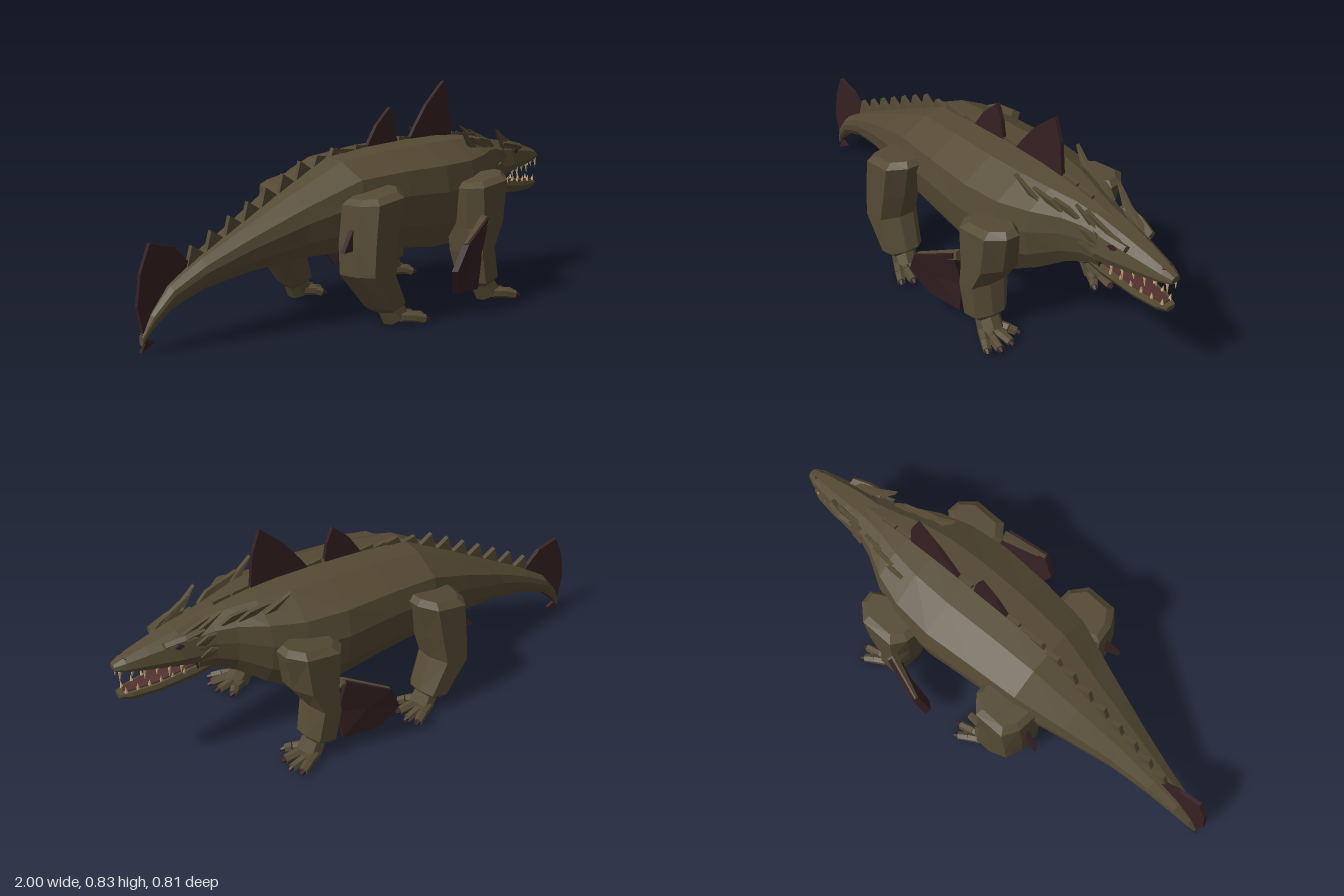
import * as THREE from 'three';

const V = (x, y, z) => new THREE.Vector3(x, y, z);
const paint = (name, color) => {
  const m = new THREE.MeshStandardMaterial({ color, flatShading: true });
  m.name = name;
  return m;
};

export function createModel() {
  const root = new THREE.Group();
  root.name = 'spinedReptile';
  const hide = paint('olive hide', 0x554a34);
  const fin = paint('maroon fin', 0x352022);
  const mouth = paint('mouth flesh', 0x51302e);
  const ivory = paint('ivory teeth', 0xc4aa74);

  function add(name, geo, mat) {
    const mesh = new THREE.Mesh(geo, mat);
    mesh.name = name;
    root.add(mesh);
    return mesh;
  }

  // Skin a list of closed rings, cap both ends and face the result outwards
  function loft(name, rings, mat) {
    const n = rings[0].length, tris = [];
    for (let i = 0; i < rings.length - 1; i++) {
      for (let j = 0; j < n; j++) {
        const k = (j + 1) % n, a = rings[i], b = rings[i + 1];
        tris.push([a[j], a[k], b[k]], [a[j], b[k], b[j]]);
      }
    }
    const cap = (ring, flip) => {
      const c = ring.reduce((s, p) => s.add(p), V(0, 0, 0)).divideScalar(n);
      ring.forEach((p, j) => {
        const q = ring[(j + 1) % n];
        tris.push(flip ? [c, q, p] : [c, p, q]);
      });
    };
    cap(rings[0], true);
    cap(rings[rings.length - 1], false);
    let volume = 0;
    tris.forEach(([a, b, c]) => { volume += a.dot(b.clone().cross(c)); });
    if (volume < 0) tris.forEach(t => t.reverse());
    const geo = new THREE.BufferGeometry().setFromPoints(tris.flat());
    geo.computeVertexNormals();
    return add(name, geo, mat);
  }

  // Thin plate: an outline given thickness along one direction
  function plate(name, pts, thick, mat) {
    const d = thick.clone().multiplyScalar(0.5);
    return loft(name, [pts.map(p => p.clone().sub(d)), pts.map(p => p.clone().add(d))], mat);
  }
  const finPlate = (name, pts, z, t, mat) =>
    plate(name, pts.map(([x, y]) => V(x, y, z)), V(0, 0, t), mat);

  // Tapered rod from a to b
  function rod(name, a, b, ra, rb, sides, mat) {
    const dir = b.clone().sub(a);
    const mesh = add(name, new THREE.CylinderGeometry(rb, ra, dir.length(), sides), mat);
    mesh.position.copy(a).add(b).multiplyScalar(0.5);
    mesh.quaternion.setFromUnitVectors(V(0, 1, 0), dir.normalize());
  }

  // Body and tail: x, top, bottom, half width, centre z
  const half = [[0, 1], [0.42, 0.95], [0.92, 0.62], [1, 0.15], [0.92, -0.45], [0.66, -0.92], [0, -1]];
  const outline = [...half, ...half.slice(1, -1).reverse().map(([a, b]) => [-a, b])];
  const stations = [
    [-0.985, 0.07, 0.035, 0.012, -0.037], [-0.95, 0.14, 0.085, 0.028, -0.037],
    [-0.88, 0.225, 0.145, 0.046, -0.036], [-0.76, 0.3, 0.195, 0.065, -0.032],
    [-0.6, 0.385, 0.228, 0.098, -0.022], [-0.4, 0.49, 0.25, 0.153, -0.015],
    [-0.2, 0.59, 0.25, 0.212, -0.005], [0, 0.61, 0.232, 0.232, 0],
    [0.2, 0.62, 0.205, 0.245, 0], [0.36, 0.622, 0.205, 0.228, 0],
    [0.48, 0.615, 0.275, 0.185, 0], [0.58, 0.602, 0.345, 0.125, 0],
    [0.65, 0.588, 0.378, 0.096, 0], [0.71, 0.575, 0.385, 0.082, 0]];
  loft('body', stations.map(([x, t, b, w, z]) =>
    outline.map(([a, h]) => V(x, (t + b) / 2 + h * (t - b) / 2, z + a * w))), hide);

  // Upper jaw and snout, then lower jaw: x, top, bottom, half width
  const jawRing = ([x, t, b, w], lower) => {
    const s = lower ? [[0.9, 1], [1, 0.6], [0.65, 0], [-0.65, 0], [-1, 0.6], [-0.9, 1]]
      : [[0.4, 1], [0.85, 0.72], [1, 0.25], [0.85, 0], [-0.85, 0], [-1, 0.25], [-0.85, 0.72], [-0.4, 1]];
    return s.map(([a, h]) => V(x, b + (t - b) * h, a * w));
  };
  loft('upperJaw', [[0.66, 0.583, 0.425, 0.09], [0.77, 0.565, 0.44, 0.08], [0.88, 0.538, 0.456, 0.056],
    [0.96, 0.515, 0.468, 0.038], [0.997, 0.498, 0.475, 0.02]].map(r => jawRing(r, false)), hide);
  loft('lowerJaw', [[0.64, 0.43, 0.372, 0.068], [0.72, 0.408, 0.353, 0.062], [0.86, 0.385, 0.343, 0.05],
    [0.95, 0.378, 0.345, 0.036], [0.99, 0.374, 0.356, 0.02]].map(r => jawRing(r, true)), hide);

  // Lining of the mouth
  const lining = (name, pts, mat) => plate(name,
    [...pts, ...pts.slice().reverse().map(([x, y, z]) => [x, y, -z])].map(p => V(...p)), V(0, 0.006, 0), mat);
  lining('palate', [[0.71, 0.431, 0.055], [0.88, 0.455, 0.038], [0.98, 0.471, 0.013]], fin);
  lining('tongue', [[0.71, 0.411, 0.046], [0.86, 0.387, 0.036], [0.97, 0.378, 0.016]], mouth);
  plate('throat', [V(0.713, 0.4, 0.06), V(0.713, 0.445, 0.06), V(0.713, 0.445, -0.06), V(0.713, 0.4, -0.06)],
    V(0.006, 0, 0), fin);

  for (const s of [1, -1]) {
    // Teeth along both jaws
    for (let i = 0; i < 6; i++) {
      const x = 0.775 + i * 0.041, u = i / 5;
      const zu = s * (0.066 - 0.046 * u), zl = s * (0.05 - 0.032 * u);
      const long = i % 2 ? 0.04 : 0.026;
      rod('upperTooth', V(x, 0.445 + 0.028 * u, zu), V(x + 0.004, 0.445 + 0.028 * u - long, zu), 0.007, 0.001, 5, ivory);
      rod('lowerTooth', V(x - 0.014, 0.396 - 0.02 * u, zl), V(x - 0.012, 0.42 - 0.02 * u, zl * 1.15), 0.007, 0.001, 5, ivory);
    }

    // Eye and nostril
    plate('eye', [V(0.765, 0.528, 0.081 * s), V(0.782, 0.538, 0.077 * s), V(0.798, 0.525, 0.074 * s),
      V(0.782, 0.518, 0.078 * s)], V(0, 0, 0.009), fin);
    plate('nostril', [V(0.95, 0.517, 0.015 * s), V(0.965, 0.512, 0.013 * s), V(0.955, 0.512, 0.022 * s)], V(0, 0.006, 0), fin);

    // Swept-back brow, cheek and neck spikes: base point then tip
    const spikes = [
      [0.79, 0.55, 0.055, 0.66, 0.615, 0.08], [0.74, 0.56, 0.07, 0.63, 0.63, 0.1],
      [0.83, 0.535, 0.05, 0.73, 0.575, 0.072], [0.72, 0.52, 0.078, 0.65, 0.545, 0.096],
      [0.71, 0.47, 0.082, 0.65, 0.485, 0.096], [0.63, 0.57, 0.082, 0.53, 0.605, 0.105],
      [0.57, 0.575, 0.1, 0.45, 0.615, 0.125], [0.49, 0.575, 0.12, 0.38, 0.643, 0.146]];
    for (const [x, y, z, tx, ty, tz] of spikes) {
      plate('headSpike', [V(x, y - 0.008, z * s), V(x - 0.035, y - 0.02, z * s), V(tx, ty, tz * s),
        V(x - 0.04, y + 0.022, (z + tz) / 2 * s)], V(0, 0, 0.016), hide);
    }
    // Ridge of the brow
    loft('brow', [[0.69, 0.57, 0.082], [0.76, 0.556, 0.08], [0.83, 0.54, 0.062]].map(([x, y, z]) =>
      [[0, 0.012], [0.014, 0], [0, -0.014], [-0.02, 0]].map(([a, b]) => V(x, y + b, (z + a) * s))), hide);

    // Legs: x back, x front, y, z inner, z outer
    const legs = {
      frontLeg: [[0.28, 0.47, 0.485, 0.2, 0.3], [0.25, 0.49, 0.465, 0.185, 0.327], [0.265, 0.46, 0.31, 0.155, 0.327],
        [0.272, 0.395, 0.215, 0.162, 0.327], [0.295, 0.42, 0.095, 0.187, 0.325], [0.325, 0.41, 0.078, 0.21, 0.308]],
      rearLeg: [[-0.265, -0.09, 0.485, 0.18, 0.3], [-0.29, -0.07, 0.465, 0.165, 0.327], [-0.3, -0.105, 0.32, 0.155, 0.327],
        [-0.3, -0.135, 0.215, 0.162, 0.327], [-0.2, -0.085, 0.085, 0.187, 0.325], [-0.18, -0.095, 0.068, 0.21, 0.308]],
    };
    // Leg section, narrower on the outer side and open towards the body
    const section = [[0, 0.12], [0.04, 0.62], [0.2, 1], [0.75, 1], [0.98, 0.62], [1, 0.25], [0.78, 0], [0.25, 0]];
    for (const [name, path] of Object.entries(legs)) {
      loft(name, path.map(([x0, x1, y, z0, z1]) => section.map(([u, w]) =>
        V(x0 + (x1 - x0) * u, y + 0.015 - 0.03 * (1 - u), (z0 + (z1 - z0) * w) * s))), hide);

      // Foot with four splayed toes and dark claws
      const ax = (path[5][0] + path[5][1]) / 2;
      rod('ankle', V(ax - 0.005, 0.09, 0.258 * s), V(ax + 0.03, 0.03, 0.265 * s), 0.045, 0.05, 8, hide);
      [[0.09, 0.197], [0.122, 0.25], [0.126, 0.304], [0.104, 0.344]].forEach(([dx, z]) => {
        const a = V(ax + 0.025, 0.034, (0.265 + (z - 0.265) * 0.45) * s);
        const k = V(ax + 0.07, 0.03, (0.265 + (z - 0.265) * 0.75) * s), b = V(ax + dx, 0.021, z * s);
        rod('toe', a, k, 0.019, 0.019, 6, hide);
        rod('toe', k, b, 0.019, 0.017, 6, hide);
        rod('claw', b, b.clone().add(V(0.016, -0.004, 0.1 * (z - 0.265) * s)), 0.012, 0.007, 6, fin);
      });
    }

    // Large fin behind each front leg, small one behind each rear leg
    plate('elbowFin', [[0.29, 0.35, 0.345], [0.13, 0.275, 0.39], [0.085, 0.18, 0.378], [0.14, 0.08, 0.335],
      [0.28, 0.07, 0.305], [0.3, 0.2, 0.305]].map(([x, y, z]) => V(x, y, z * s)), V(0.006, 0.004, 0.026 * s), fin);
    rod('elbowFinSpine', V(0.3, 0.337, 0.33 * s), V(0.135, 0.272, 0.385 * s), 0.022, 0.01, 5, hide);
    plate('kneeFin', [[-0.35, 0.295, 0.25], [-0.27, 0.39, 0.225], [-0.25, 0.29, 0.22]]
      .map(([x, y, z]) => V(x, y, z * s)), V(0, 0, 0.02), fin);
  }

  // Fins on the back and tail
  finPlate('smallBackFin', [[-0.01, 0.595], [0.05, 0.685], [0.12, 0.748], [0.145, 0.69], [0.16, 0.6]], 0, 0.016, fin);
  finPlate('largeBackFin', [[0.215, 0.6], [0.255, 0.66], [0.32, 0.745], [0.417, 0.832], [0.45, 0.74], [0.465, 0.6]], 0, 0.016, fin);
  finPlate('tailFin', [[-0.98, 0.07], [-1, 0.17], [-0.985, 0.28], [-0.945, 0.375], [-0.855, 0.35],
    [-0.785, 0.282], [-0.87, 0.21]], -0.037, 0.016, fin);
  finPlate('tailHook', [[-0.985, 0.075], [-0.965, 0.055], [-0.935, 0.04], [-0.99, 0.012], [-0.975, 0.04]], -0.037, 0.014, fin);
  finPlate('tailKeel', [[-0.98, 0.04], [-0.945, 0.08], [-0.88, 0.138], [-0.89, 0.16], [-0.96, 0.1]], -0.037, 0.014, fin);

  // Spines along the tail and low scutes along the back
  const topAt = x => {
    const i = stations.findIndex(p => p[0] > x), a = stations[i - 1], b = stations[i], u = (x - a[0]) / (b[0] - a[0]);
    return [a[1] + (b[1] - a[1]) * u, a[4] + (b[4] - a[4]) * u];
  };
  for (let i = 0; i < 9; i++) {
    const x = -0.77 + i * 0.077, [y, z] = topAt(x), h = i < 7 ? 0.05 : 0.025;
    finPlate('tailSpine', [[x - 0.035, y - 0.03], [x - 0.012, y + h], [x + 0.045, y + 0.015], [x + 0.03, y - 0.01]], z, 0.018, hide);
  }
  for (let i = 0; i < 10; i++) {
    const x = -0.1 + i * 0.075, [y] = topAt(x);
    finPlate('backScute', [[x - 0.035, y - 0.015], [x - 0.03, y + 0.014], [x + 0.035, y + 0.006], [x + 0.035, y - 0.015]], 0, 0.014, hide);
  }
  return root;
}
